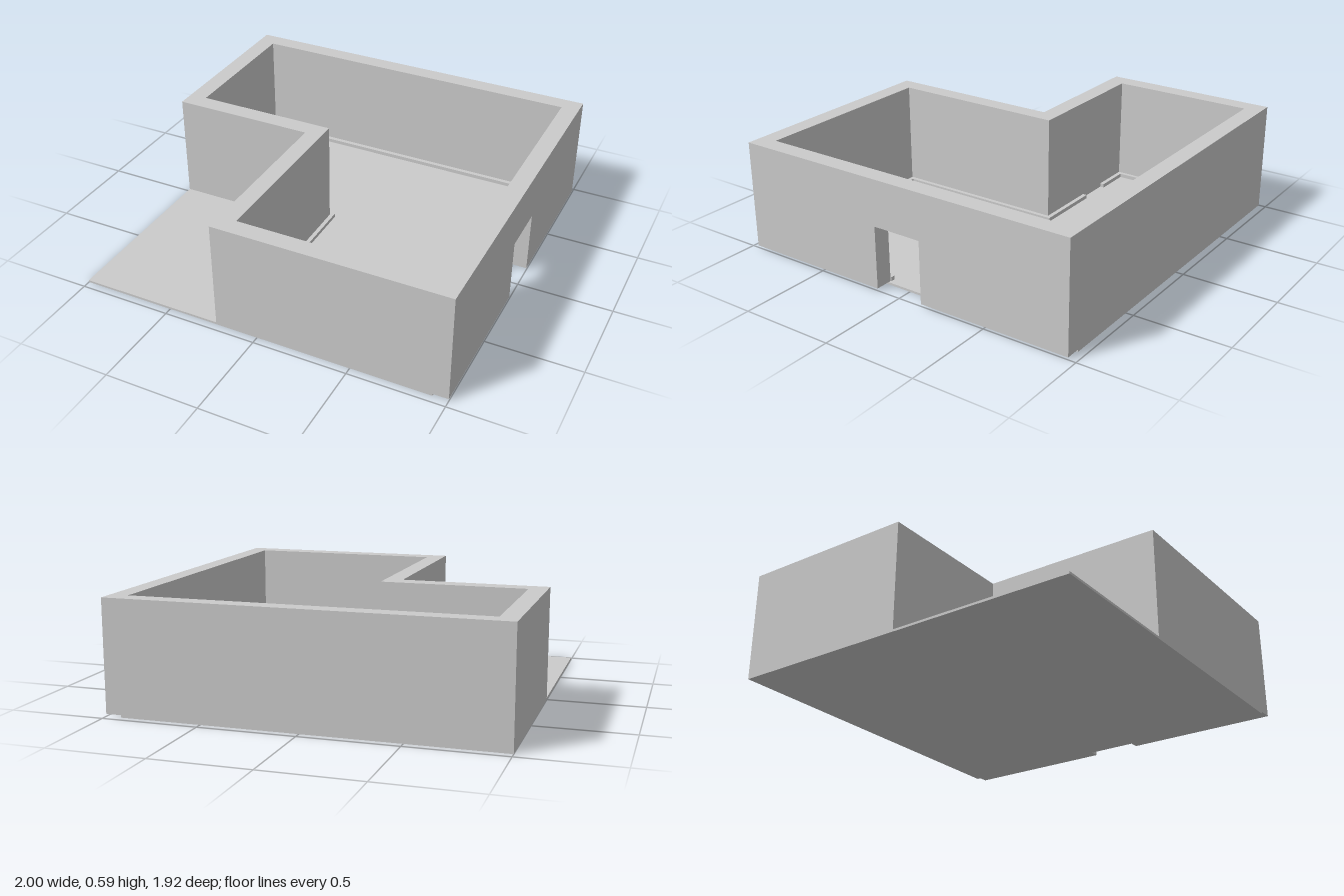
import * as THREE from 'three';

const material = new THREE.MeshStandardMaterial({ color: 0xcccccc, flatShading: true });

const BASE = 0.012;   // top of the floor slab
const TOP = 0.588;    // top of the walls
const DOOR_TOP = 0.343;
const DOOR = 0.135;   // half width of the doorway

// Extrudes a floor-plan outline, given as [x, z] corners, from y0 up to y1.
function planMesh(name, plan, y0, y1) {
  const shape = new THREE.Shape(plan.map(([x, z]) => new THREE.Vector2(x, -z)));
  const geometry = new THREE.ExtrudeGeometry(shape, { depth: y1 - y0, bevelEnabled: false });
  geometry.rotateX(-Math.PI / 2).translate(0, y0, 0);
  const mesh = new THREE.Mesh(geometry, material);
  mesh.name = name;
  return mesh;
}

// Joins two parallel paths into one closed strip.
const strip = (a, b) => [...a, ...[...b].reverse()];

export function createModel() {
  const model = new THREE.Group();
  model.name = 'roomShell';

  // Floor slab, stopping short under the doorway wall
  model.add(planMesh('floorSlab', [[-1, -0.96], [0.92, -0.96], [0.92, 0.96], [-1, 0.96]], 0, BASE));

  // L-shaped run of walls from one door jamb round to the other
  const outside = [[1, DOOR], [1, 0.96], [-0.23, 0.96], [-0.23, -0.005], [-1, -0.005], [-1, -0.96], [1, -0.96], [1, -DOOR]];
  const inside = [[0.905, DOOR], [0.905, 0.865], [-0.137, 0.865], [-0.137, -0.1], [-0.905, -0.1], [-0.905, -0.868], [0.905, -0.868], [0.905, -DOOR]];
  model.add(planMesh('walls', strip(outside, inside), BASE, TOP));

  // Wall above the doorway
  model.add(planMesh('doorLintel', [[0.905, -DOOR], [1, -DOOR], [1, DOOR], [0.905, DOOR]], DOOR_TOP, TOP));

  // Skirting boards in two runs, with gaps at the doorway and the short front wall
  const skirtings = {
    skirtingFront: strip(
      [[0.905, 0.13], [0.905, 0.865], [-0.137, 0.865], [-0.137, -0.1], [-0.5, -0.1]],
      [[0.882, 0.13], [0.882, 0.84], [-0.115, 0.84], [-0.115, -0.123], [-0.5, -0.123]]),
    skirtingBack: strip(
      [[-0.69, -0.1], [-0.905, -0.1], [-0.905, -0.868], [0.905, -0.868], [0.905, -0.137]],
      [[-0.69, -0.123], [-0.884, -0.123], [-0.884, -0.844], [0.882, -0.844], [0.882, -0.137]]),
  };
  for (const [name, plan] of Object.entries(skirtings)) model.add(planMesh(name, plan, BASE, 0.033));

  return model;
}
